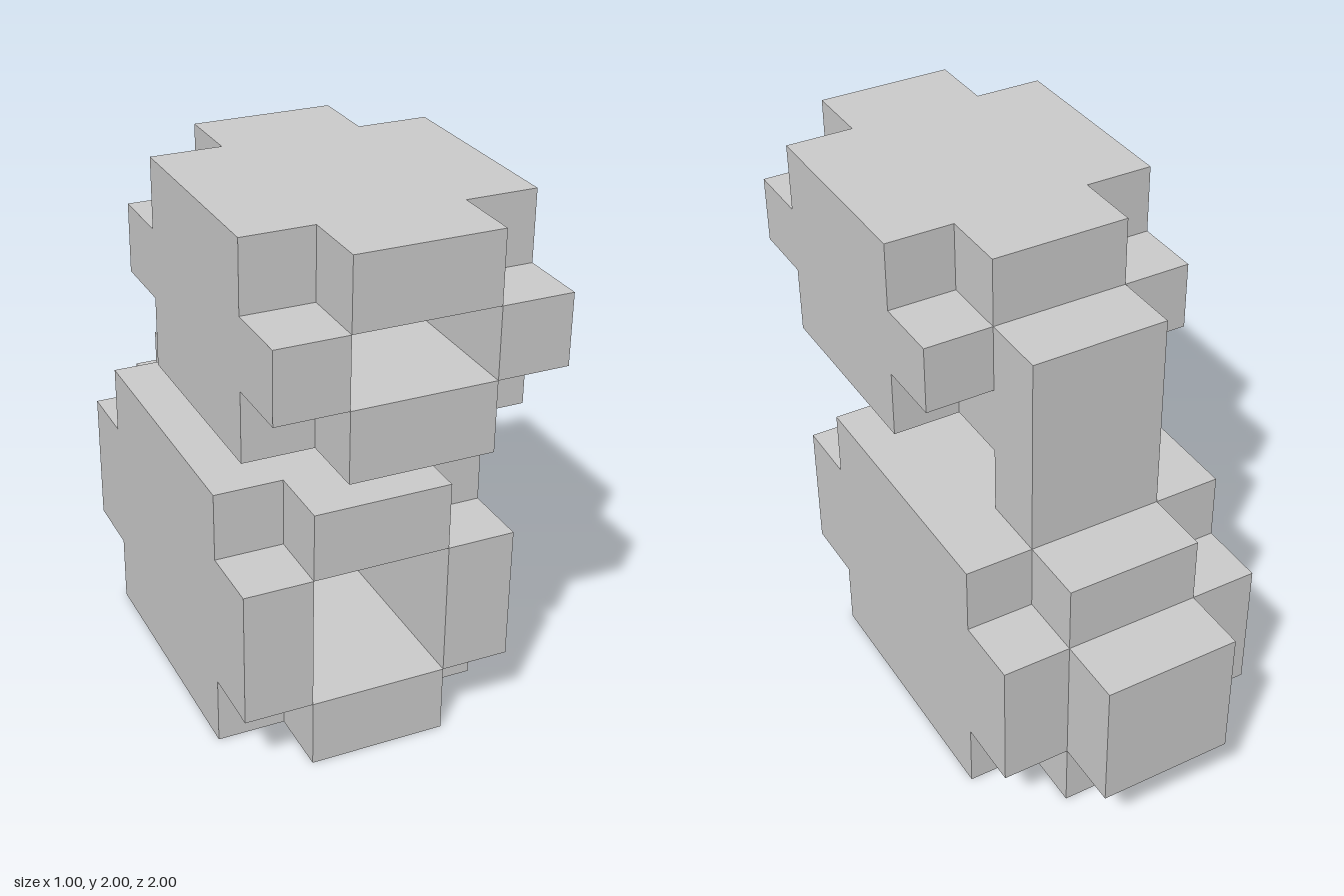
import * as THREE from 'three';
import { mergeGeometries } from 'three/addons/utils/BufferGeometryUtils.js';

const U = 0.25; // edge of one cube

// Blocks on the cube grid: min is inclusive, max exclusive.
// A hollow block has its corner cubes cut and a square bore open at the front.
const PARTS = [
  { name: 'body', min: [-2, 0, -3], max: [2, 4, 3], hollow: true },
  { name: 'tail', min: [-1, 1, -4], max: [1, 3, -3] },
  { name: 'neck', min: [-1, 4, -2], max: [1, 7, -1] },
  { name: 'head', min: [-2, 5, -1], max: [2, 8, 4], hollow: true },
];

function contains({ min, max, hollow }, p) {
  if (p.some((v, i) => v < min[i] || v >= max[i])) return false;
  if (!hollow) return true;
  const rim = p.map((v, i) => v === min[i] || v === max[i] - 1);
  const corner = rim[0] && rim[1] && rim[2];
  const bore = !rim[0] && !rim[1];
  return !corner && !bore;
}

const filled = (p) => PARTS.some((part) => contains(part, p));

const DIRECTIONS = [
  [1, 0, 0], [-1, 0, 0], [0, 1, 0], [0, -1, 0], [0, 0, 1], [0, 0, -1],
];

// One square for each cube side that is not covered by another cube
function buildPart(part) {
  const faces = [];
  const { min, max } = part;
  const front = new THREE.Vector3(0, 0, 1);
  for (let x = min[0]; x < max[0]; x++)
    for (let y = min[1]; y < max[1]; y++)
      for (let z = min[2]; z < max[2]; z++) {
        const p = [x, y, z];
        if (!contains(part, p)) continue;
        for (const d of DIRECTIONS) {
          if (filled(p.map((v, i) => v + d[i]))) continue;
          const turn = new THREE.Quaternion().setFromUnitVectors(front, new THREE.Vector3(...d));
          const center = p.map((v, i) => (v + 0.5 + d[i] / 2) * U);
          faces.push(new THREE.PlaneGeometry(U, U).applyQuaternion(turn).translate(...center));
        }
      }
  return mergeGeometries(faces);
}

export function createModel() {
  const group = new THREE.Group();
  const material = new THREE.MeshStandardMaterial({ color: 0xcccccc, flatShading: true });
  for (const part of PARTS) {
    const mesh = new THREE.Mesh(buildPart(part), material);
    mesh.name = part.name;
    group.add(mesh);
  }
  return group;
}
